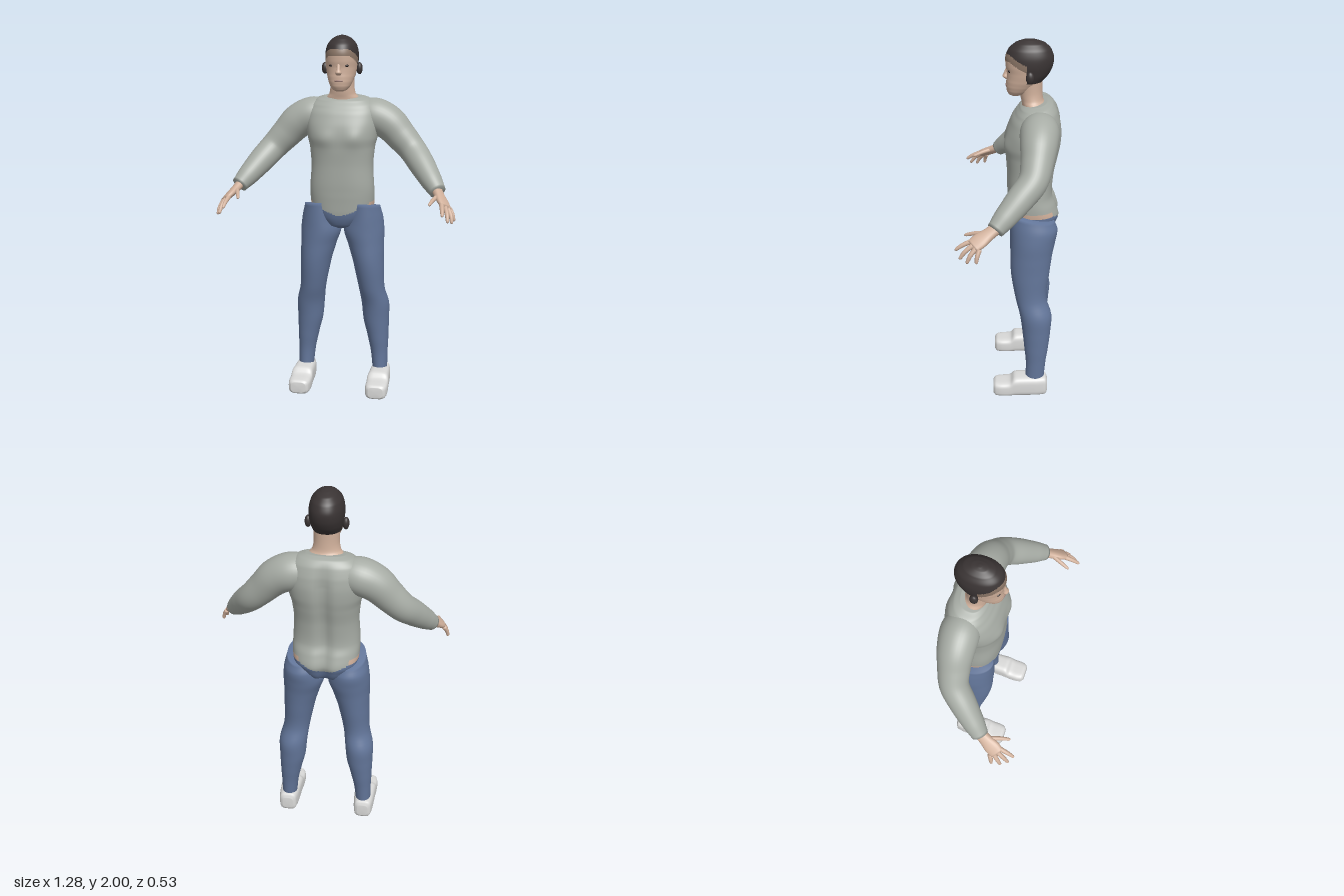
import * as THREE from 'three';

const mat = (name, color) => Object.assign(new THREE.MeshStandardMaterial({ color }), { name });
const V = (x, y, z) => new THREE.Vector3(x, y, z);
const UP = V(0, 1, 0);

// Smooth closed loft through rings [x, y, z, halfA, halfB]; halfA lies along ref.
// dir fixes the ring plane, warp moves points, rule picks a material index per face.
function loft(name, rings, mats, o = {}) {
  const { dir, ref = V(1, 0, 0), seg = 32, sub = 5, n = 2, warp, rule } = o;
  const path = new THREE.CatmullRomCurve3(rings.map(r => V(r[0], r[1], r[2])));
  const size = new THREE.CatmullRomCurve3(rings.map(r => V(r[3], r[4], 0)), false, 'catmullrom', 0.4);
  const rows = (rings.length - 1) * sub;
  const pts = [];
  const bend = c => Math.sign(c) * Math.abs(c) ** (2 / n);
  for (let j = -1; j <= rows + 1; j++) {
    const t = Math.min(Math.max(j / rows, 0), 1);
    const k = j < 0 || j > rows ? 0 : 1; // collapsed rows close the ends
    const c = path.getPoint(t), s = size.getPoint(t);
    const T = dir || path.getTangent(t);
    const v = ref.clone().addScaledVector(T, -ref.dot(T)).normalize();
    const u = T.clone().cross(v);
    for (let i = 0; i < seg; i++) {
      const a = i / seg * Math.PI * 2;
      const p = c.clone().addScaledVector(v, k * s.x * bend(Math.cos(a)))
        .addScaledVector(u, k * s.y * bend(Math.sin(a)));
      if (warp) warp(p);
      pts.push(p);
    }
  }
  const list = Array.isArray(mats) ? mats : [mats];
  const faces = list.map(() => []);
  for (let j = 0; j < rows + 2; j++) for (let i = 0; i < seg; i++) {
    const a = j * seg + i, b = j * seg + (i + 1) % seg, c = b + seg, d = a + seg;
    const mid = pts[a].clone().add(pts[b]).add(pts[c]).add(pts[d]).multiplyScalar(0.25);
    faces[rule ? rule(mid) : 0].push(a, b, c, a, c, d);
  }
  const g = new THREE.BufferGeometry().setFromPoints(pts);
  g.setIndex(faces.flat());
  let start = 0;
  if (list.length > 1) faces.forEach((f, i) => { g.addGroup(start, f.length, i); start += f.length; });
  g.computeVertexNormals();
  const m = new THREE.Mesh(g, mats);
  m.name = name;
  return m;
}

// Horizontal ring from half width and front / back depth
const slice = ([y, rx, zf, zb]) => [0, y, (zf + zb) / 2, rx, (zf - zb) / 2];

function ball(name, m, x, y, z, sx, sy, sz) {
  const b = new THREE.Mesh(new THREE.SphereGeometry(1, 20, 14), m);
  b.name = name;
  b.position.set(x, y, z);
  b.scale.set(sx, sy, sz);
  return b;
}

export function createModel() {
  const root = new THREE.Group();
  root.name = 'standingPerson';
  const shirt = mat('grey shirt', 0xa7aca5), jeans = mat('blue trousers', 0x63769a);
  const skin = mat('skin', 0xd0b09b), hair = mat('dark hair', 0x3a3434);
  const fade = mat('hairline', 0x8a7566), shoe = mat('white shoe', 0xd9d9d8);
  const eyeMat = mat('eye', 0x2a2221), lip = mat('lips', 0xa08078);

  // Torso: shirt above the hem, trousers below, bare strip at the hips
  const torso = [
    [0.945, 0.05, -0.07, -0.17], [0.97, 0.1, -0.02, -0.23], [1.02, 0.15, 0, -0.255],
    [1.06, 0.172, 0.006, -0.266], [1.12, 0.178, 0.011, -0.25], [1.18, 0.177, 0.015, -0.228],
    [1.3, 0.17, 0.018, -0.235], [1.4, 0.178, 0.024, -0.255], [1.46, 0.192, 0.026, -0.266],
    [1.52, 0.198, 0.018, -0.27], [1.58, 0.195, -0.003, -0.264], [1.63, 0.178, -0.03, -0.247],
    [1.66, 0.145, -0.05, -0.222], [1.674, 0.1, -0.066, -0.19],
  ].map(slice);
  root.add(loft('torso', torso, [shirt, jeans, skin], {
    dir: UP, seg: 72, sub: 7, n: 2.4,
    warp: p => {
      const x = Math.abs(p.x), back = p.z < -0.15;
      if (back) p.z += 0.024 * Math.exp(-((x / 0.035) ** 2)) * Math.min(1, Math.max(0, (1.66 - p.y) * 8)); // spine
      else if (p.z > -0.06) p.z += 0.013 * Math.exp(-(((x - 0.085) / 0.055) ** 2) - ((p.y - 1.46) / 0.05) ** 2); // chest
      if (p.y > 1.6) p.y -= (p.z + 0.13) * 0.14 * (p.y - 1.6) / 0.07; // neckline tilt
    },
    rule: p => {
      const x = Math.abs(p.x);
      if (p.y > 1.08 && p.y < 1.105 && x > 0.13 && p.z < -0.05) return 2;
      return p.y < 1.025 + 0.4 * x ? 1 : 0;
    },
  }));

  // Neck
  root.add(loft('neck', [
    [1.62, 0.1, -0.06, -0.2], [1.665, 0.09, -0.06, -0.185], [1.69, 0.072, -0.055, -0.17],
    [1.73, 0.065, -0.05, -0.165], [1.8, 0.065, -0.05, -0.165],
  ].map(slice), skin, { dir: UP }));

  // Head with cropped hair
  root.add(loft('head', [
    [1.708, 0.02, -0.005, -0.05], [1.718, 0.04, 0.01, -0.075], [1.74, 0.056, 0.019, -0.11],
    [1.765, 0.067, 0.021, -0.14], [1.79, 0.075, 0.02, -0.168], [1.83, 0.083, 0.018, -0.2],
    [1.87, 0.088, 0.024, -0.217], [1.91, 0.087, 0.025, -0.221], [1.95, 0.077, 0.01, -0.207],
    [1.98, 0.053, -0.023, -0.177], [1.995, 0.027, -0.058, -0.138], [2.0, 0.008, -0.09, -0.105],
  ].map(slice), [skin, hair, fade], {
    dir: UP, seg: 72, sub: 8, n: 2.15,
    rule: p => {
      const line = 1.928 + Math.min(0, p.z) * 0.55;
      if (p.z < -0.085) return p.y > 1.787 ? 1 : 0;
      return p.y > line ? 1 : p.y > line - 0.035 ? 2 : 0;
    },
  }));

  // Nose and mouth
  root.add(loft('nose', [
    [0, 1.86, 0.014, 0.008, 0.006], [0, 1.825, 0.022, 0.011, 0.011],
    [0, 1.808, 0.025, 0.017, 0.015], [0, 1.796, 0.019, 0.012, 0.006],
  ], skin, { dir: V(0, -1, 0), seg: 16 }));
  root.add(ball('mouth', lip, 0, 1.765, 0.014, 0.025, 0.007, 0.011));

  for (const s of [1, -1]) {
    const side = s > 0 ? 'left' : 'right';
    const flip = rings => rings.map(([x, ...r]) => [x * s, ...r]);

    // Eye and ear
    root.add(ball(side + 'Eye', eyeMat, 0.038 * s, 1.845, 0.003, 0.015, 0.007, 0.009));
    root.add(ball(side + 'Ear', hair, 0.094 * s, 1.825, -0.1, 0.017, 0.032, 0.021));

    // Sleeve
    root.add(loft(side + 'Sleeve', flip([
      [0.08, 1.575, -0.15, 0.08, 0.08], [0.17, 1.567, -0.15, 0.098, 0.1],
      [0.25, 1.53, -0.145, 0.095, 0.095], [0.32, 1.46, -0.135, 0.084, 0.083],
      [0.385, 1.39, -0.115, 0.075, 0.075], [0.44, 1.325, -0.055, 0.07, 0.07],
      [0.5, 1.25, 0.02, 0.058, 0.058], [0.54, 1.2, 0.07, 0.044, 0.044],
    ]), shirt, { ref: V(0.7 * s, 0.7, 0.05), seg: 36, sub: 6 }));

    // Hand
    const hand = new THREE.Group();
    hand.name = side + 'Hand';
    hand.add(loft('palm', flip([
      [0.53, 1.215, 0.055, 0.03, 0.024], [0.55, 1.186, 0.1, 0.033, 0.022],
      [0.573, 1.16, 0.145, 0.041, 0.018], [0.591, 1.14, 0.178, 0.037, 0.014],
    ]), skin, { ref: V(0.4 * s, -0.25, -0.5), seg: 24, n: 2.4 }));
    const fingers = {
      thumb: [[0.547, 1.188, 0.105], [0.523, 1.177, 0.165], [0.505, 1.158, 0.222]],
      indexFinger: [[0.567, 1.158, 0.18], [0.573, 1.137, 0.228], [0.577, 1.112, 0.265]],
      middleFinger: [[0.585, 1.145, 0.175], [0.598, 1.113, 0.216], [0.604, 1.076, 0.243]],
      ringFinger: [[0.6, 1.133, 0.163], [0.617, 1.1, 0.19], [0.624, 1.063, 0.207]],
      littleFinger: [[0.607, 1.13, 0.145], [0.624, 1.1, 0.155], [0.633, 1.066, 0.16]],
    };
    for (const [name, [a, b, c]] of Object.entries(fingers)) {
      const near = c.map((v, i) => v * 0.85 + b[i] * 0.15);
      hand.add(loft(name, flip([
        [...a, 0.013, 0.013], [...b, 0.011, 0.011], [...near, 0.008, 0.008], [...c, 0.003, 0.003],
      ]), skin, { ref: V(s, 0.3, 0), seg: 12, sub: 4 }));
    }
    root.add(hand);

    // Trouser leg, its top edge higher at the front
    root.add(loft(side + 'TrouserLeg', flip([
      [0.217, 0.1, -0.14, 0.042, 0.052], [0.212, 0.2, -0.145, 0.048, 0.055],
      [0.203, 0.3, -0.147, 0.06, 0.067], [0.192, 0.4, -0.147, 0.073, 0.078],
      [0.187, 0.5, -0.142, 0.078, 0.087], [0.168, 0.6, -0.115, 0.073, 0.085],
      [0.15, 0.75, -0.11, 0.086, 0.105], [0.135, 0.85, -0.115, 0.1, 0.113],
      [0.122, 0.93, -0.122, 0.113, 0.122], [0.125, 1.0, -0.127, 0.103, 0.127],
      [0.127, 1.075, -0.118, 0.083, 0.118],
    ]), jeans, {
      dir: UP, seg: 40,
      warp: p => { if (p.y > 1) p.y += (p.z + 0.12) * 0.2 * (p.y - 1) / 0.075; },
    }));

    // Shoe
    root.add(loft(side + 'Shoe', flip([
      [0.22, 0.057, -0.212, 0.03, 0.035], [0.22, 0.06, -0.2, 0.047, 0.056],
      [0.22, 0.06, -0.15, 0.056, 0.06], [0.22, 0.06, -0.06, 0.06, 0.06],
      [0.22, 0.058, -0.025, 0.062, 0.058], [0.22, 0.046, 0, 0.063, 0.046],
      [0.22, 0.043, 0.05, 0.063, 0.043], [0.22, 0.042, 0.08, 0.056, 0.041],
      [0.22, 0.042, 0.094, 0.041, 0.03],
    ]), shoe, { dir: V(0, 0, 1), seg: 40, n: 3.6, warp: p => { p.y = Math.max(0, p.y); } }));
  }
  return root;
}
